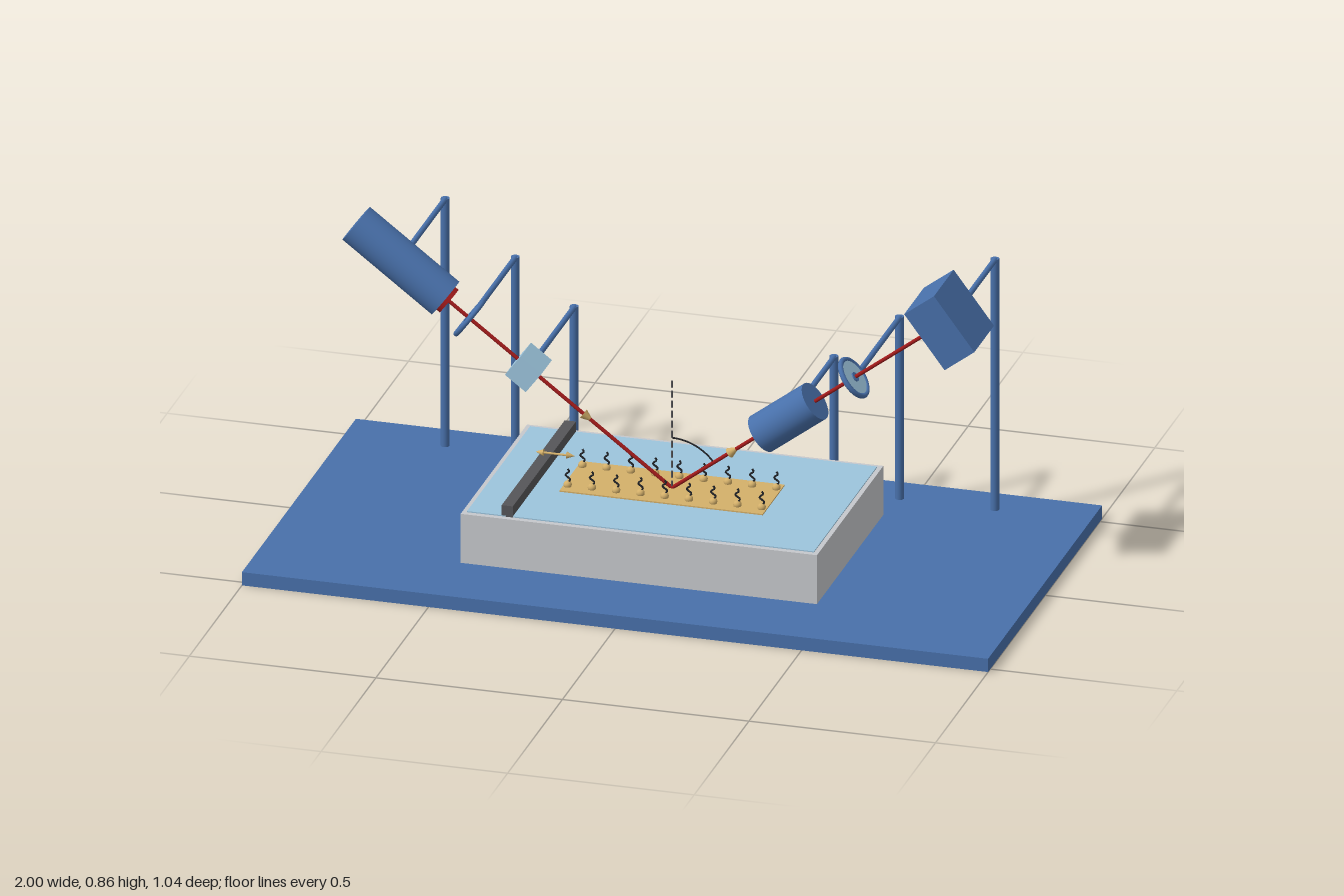
import * as THREE from 'three';

const material = (name, color) => {
  const m = new THREE.MeshStandardMaterial({ color });
  m.name = name;
  return m;
};

export function createModel() {
  const blue = material('blue paint', 0x4870aa);
  const glass = material('pale blue glass', 0x9cc4dc);
  const grey = material('light grey', 0xc6c8cc);
  const charcoal = material('charcoal', 0x555558);
  const black = material('black', 0x222428);
  const gold = material('gold', 0xd4b06a);
  const red = material('deep red', 0xa01a1a);

  const model = new THREE.Group();
  model.name = 'opticalBench';

  const add = (name, geometry, mat, x = 0, y = 0, z = 0, parent = model) => {
    const mesh = new THREE.Mesh(geometry, mat);
    mesh.name = name;
    mesh.position.set(x, y, z);
    parent.add(mesh);
    return mesh;
  };
  const box = (w, h, d) => new THREE.BoxGeometry(w, h, d);
  const rod = (r, h, n = 24) => new THREE.CylinderGeometry(r, r, h, n);

  // Base plate, trough, liquid, sliding barrier and film
  const surface = 0.18;
  add('basePlate', box(2, 0.037, 1.04), blue, 0, 0.0185, 0);
  add('trough', box(0.955, 0.137, 0.606), grey, 0, 0.1055, 0);
  add('liquid', box(0.93, 0.03, 0.576), glass, 0, 0.162, 0);
  add('barrier', box(0.03, 0.032, 0.576), charcoal, -0.357, 0.189, 0);
  add('film', box(0.545, 0.004, 0.2), gold, 0, 0.1785, 0);

  // Film molecules: round head with a wavy tail
  const head = new THREE.SphereGeometry(0.011, 14, 10);
  const tailPoints = [[0, 0.008], [0.007, 0.017], [-0.006, 0.029], [0.004, 0.039], [0, 0.046]];
  const tail = new THREE.TubeGeometry(
    new THREE.CatmullRomCurve3(tailPoints.map(([x, y]) => new THREE.Vector3(x, y, 0))), 16, 0.0026, 6);
  for (let i = -4; i <= 4; i++) {
    for (const z of [-0.067, 0.067]) {
      add('moleculeHead', head, gold, i * 0.065, 0.185, z);
      add('moleculeTail', tail, black, i * 0.065, 0.183, z);
    }
  }

  // Two beam arms: side -1 is incident, +1 is reflected; local +y runs outward
  const tilt = THREE.MathUtils.degToRad(53);
  const makeArm = (side, name) => {
    const arm = new THREE.Group();
    arm.name = name;
    arm.position.y = surface;
    arm.rotation.z = -side * tilt;
    model.add(arm);
    return arm;
  };
  const incident = makeArm(-1, 'incidentArm');
  const reflected = makeArm(1, 'reflectedArm');
  const beam = (arm, length) => add('beam', rod(0.005, length, 10), red, 0, length / 2, 0, arm);
  beam(incident, 0.77);
  beam(reflected, 0.89);

  // Beam direction arrows
  const cone = new THREE.ConeGeometry(0.014, 0.034, 16);
  add('beamArrow', cone, gold, 0, 0.28, 0, incident).rotation.z = Math.PI;
  add('beamArrow', cone, gold, 0, 0.21, 0, reflected);

  // Round polarising filter in a ring mount
  const filter = (arm, d, name) => {
    const g = new THREE.Group();
    g.name = name;
    g.position.y = d;
    arm.add(g);
    add('mountRing', new THREE.TorusGeometry(0.053, 0.007, 10, 40), blue, 0, 0, 0, g).rotation.x = Math.PI / 2;
    add('filterGlass', rod(0.05, 0.008, 40), glass, 0, 0, 0, g);
    add('hub', rod(0.013, 0.014, 20), blue, 0, 0, 0, g);
  };

  // Instruments on the incident side
  add('laser', rod(0.055, 0.3, 40), blue, 0, 0.91, 0, incident);
  add('laserAperture', rod(0.038, 0.014, 32), red, 0, 0.755, 0, incident);
  filter(incident, 0.68, 'polariser');
  add('compensator', box(0.07, 0.07, 0.095), glass, 0, 0.482, 0, incident);

  // Instruments on the reflected side
  add('lensTube', rod(0.0535, 0.18, 40), blue, 0, 0.39, 0, reflected);
  filter(reflected, 0.61, 'analyser');
  add('detector', box(0.18, 0.1, 0.18), blue, 0, 0.93, 0, reflected);
  add('detectorWindow', rod(0.03, 0.008, 28), charcoal, 0, 0.878, 0, reflected);

  // Stands: [side, distance along beam, z where the bracket meets the instrument]
  const stands = [
    [-1, 0.915, -0.05], [-1, 0.68, -0.056], [-1, 0.482, -0.044],
    [1, 0.39, -0.05], [1, 0.61, -0.056], [1, 0.93, -0.088],
  ];
  const postZ = -0.418;
  for (const [side, d, zEnd] of stands) {
    const x = side * d * Math.sin(tilt);
    const y = surface + d * Math.cos(tilt);
    const length = zEnd - postZ;
    add('standPost', rod(0.0115, y - 0.03, 16), blue, x, (y + 0.03) / 2, postZ);
    add('standBracket', rod(0.0075, length, 14), blue, x, y - 0.004, postZ + length / 2).rotation.x = Math.PI / 2;
  }

  // Dashed normal line
  const dash = rod(0.003, 0.018, 8);
  for (let i = 0; i < 11; i++) add('normalDash', dash, charcoal, 0, 0.19 + i * 0.028, 0);

  // Angle arc between the normal and the reflected beam
  const arc = add('angleArc', new THREE.TorusGeometry(0.14, 0.0025, 6, 28, tilt), black, 0, surface, 0);
  arc.rotation.z = Math.PI / 2 - tilt;

  // Double arrow showing barrier travel
  add('travelShaft', rod(0.003, 0.08, 8), gold, -0.313, 0.237, 0).rotation.z = Math.PI / 2;
  for (const s of [-1, 1]) {
    const tip = new THREE.ConeGeometry(0.009, 0.022, 12);
    add('travelArrowTip', tip, gold, -0.313 + s * 0.042, 0.237, 0).rotation.z = -s * Math.PI / 2;
  }

  return model;
}
